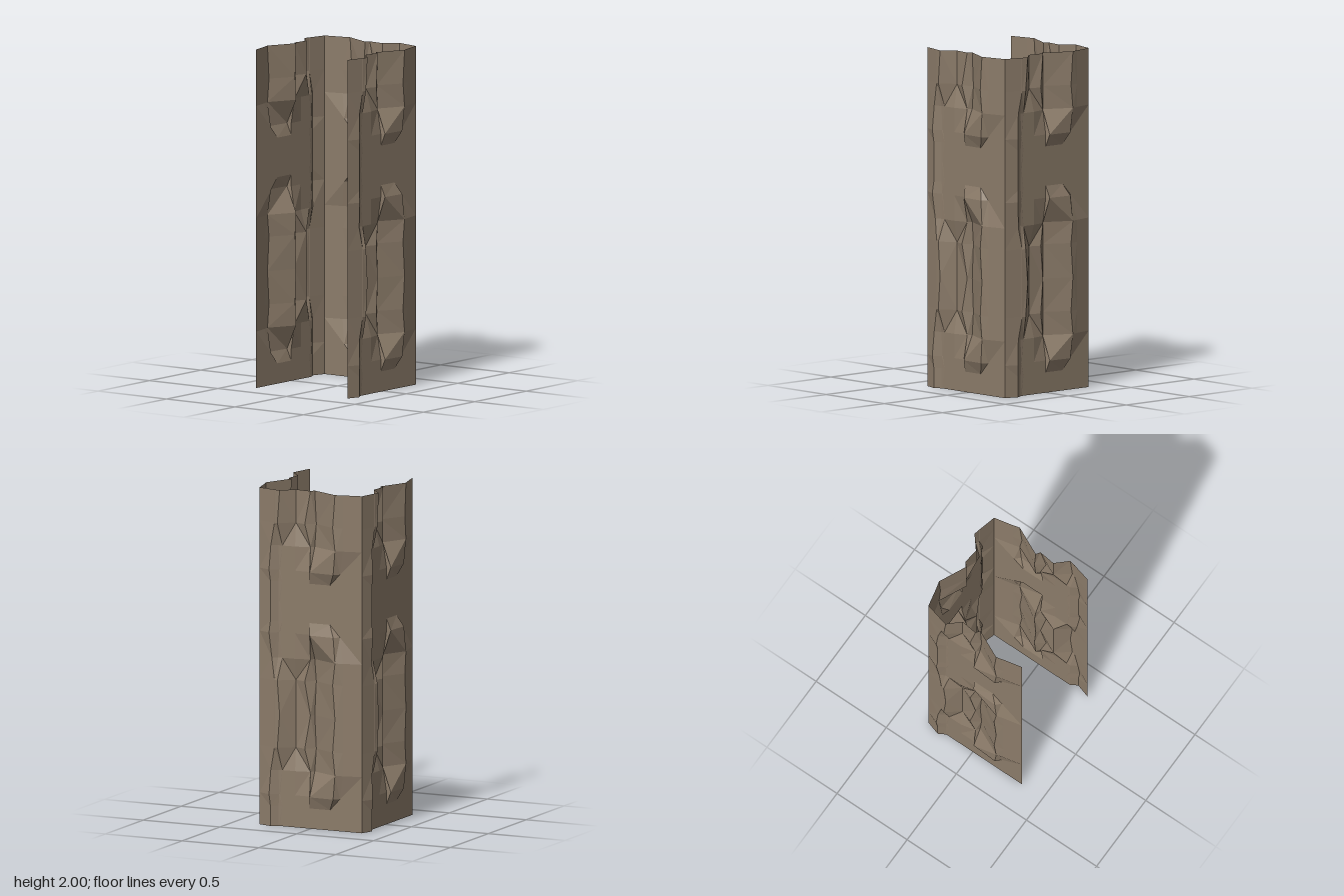
import * as THREE from 'three';

const HALF = 0.333;       // half the width of one bark panel
const TILE = 4 / 3;       // height after which the bark pattern repeats

// Row heights of one tile, with the strength of each bark feature on that row
const ROWS = [0, 0.12, 0.19, 0.333, 0.47, 0.667, 0.87, 1, 1.15, 1.22];
const CRACK = [0.8, 0.8, 1, 0.75, 0, 0, 0, 0.6, 1, 0.8];   // thin crack near one edge
const STEP = [0, 0, 0, 0, 1, 1, 1, 0, 0, 0];               // broad step beside it
const GROOVE = [0, 0, 0, 1, 1, 1, 1, 1, 0, 0];             // long groove and ridge
const LIP = [0, 0, 1, 0, 0, 0, 0, 0, 1, 0];                // raised ends of the groove

// Cross-section of the bark on a row: points of [across, outward]
function section(r) {
  const odd = r % 2;
  const a = CRACK[r], b = STEP[r], c = GROOVE[r], lip = LIP[r];
  const flat = c + lip === 0;                              // tips and gap between grooves
  return [
    [-HALF, 0],
    [-0.226 - 0.03 * a, 0.032 * a + 0.027 * b],
    [-0.222 + 0.017 * a, 0.029 * b + 0.002 * a],
    [-0.185 - (odd ? 0 : 0.015), 0.036 * b],
    [-0.112 + 0.01 * (1 - b), -0.032 * b],
    c ? [odd ? -0.012 : -0.042, odd ? -0.02 : -0.006] : [-0.008, 0],
    flat ? [0.075, 0] : [0.004 + 0.01 * c * (1 - odd), -0.045 * c + 0.022 * lip],
    flat ? [0.125, 0] : [odd ? 0.175 : 0.16, 0.036 * c + 0.03 * lip],
    [0.19 + 0.03 * c, 0.024 * c],
    [HALF, 0],
  ];
}

// Bark sheet lofted through the stacked cross-sections
function barkGeometry() {
  const pos = [], index = [];
  let rows = 0;
  for (let tile = 0; tile < 2; tile++) {
    ROWS.forEach((h, r) => {
      const y = tile * TILE + h;
      if (y > 2.01) return;
      for (const [u, d] of section(r)) pos.push(u, Math.min(y, 2), HALF + d);
      rows++;
    });
  }
  const n = section(0).length;
  for (let j = 0; j < rows - 1; j++) {
    for (let i = 0; i < n - 1; i++) {
      const p = j * n + i, q = p + n;
      if ((i + j) % 2) index.push(p, p + 1, q, p + 1, q + 1, q);
      else index.push(p, p + 1, q + 1, p, q + 1, q);
    }
  }
  const geo = new THREE.BufferGeometry();
  geo.setAttribute('position', new THREE.Float32BufferAttribute(pos, 3));
  geo.setIndex(index);
  geo.computeVertexNormals();
  return geo;
}

export function createModel() {
  const group = new THREE.Group();
  group.name = 'barkTrunk';
  const bark = new THREE.MeshStandardMaterial({
    color: 0x8b7b69, flatShading: true, side: THREE.DoubleSide,
  });
  const geo = barkGeometry();

  // The same sheet on three sides; the fourth side is open
  ['frontBark', 'leftBark', 'backBark'].forEach((name, k) => {
    const panel = new THREE.Mesh(geo, bark);
    panel.name = name;
    panel.rotation.y = k * Math.PI / 2;
    panel.position.x = -0.0175;
    group.add(panel);
  });
  return group;
}
